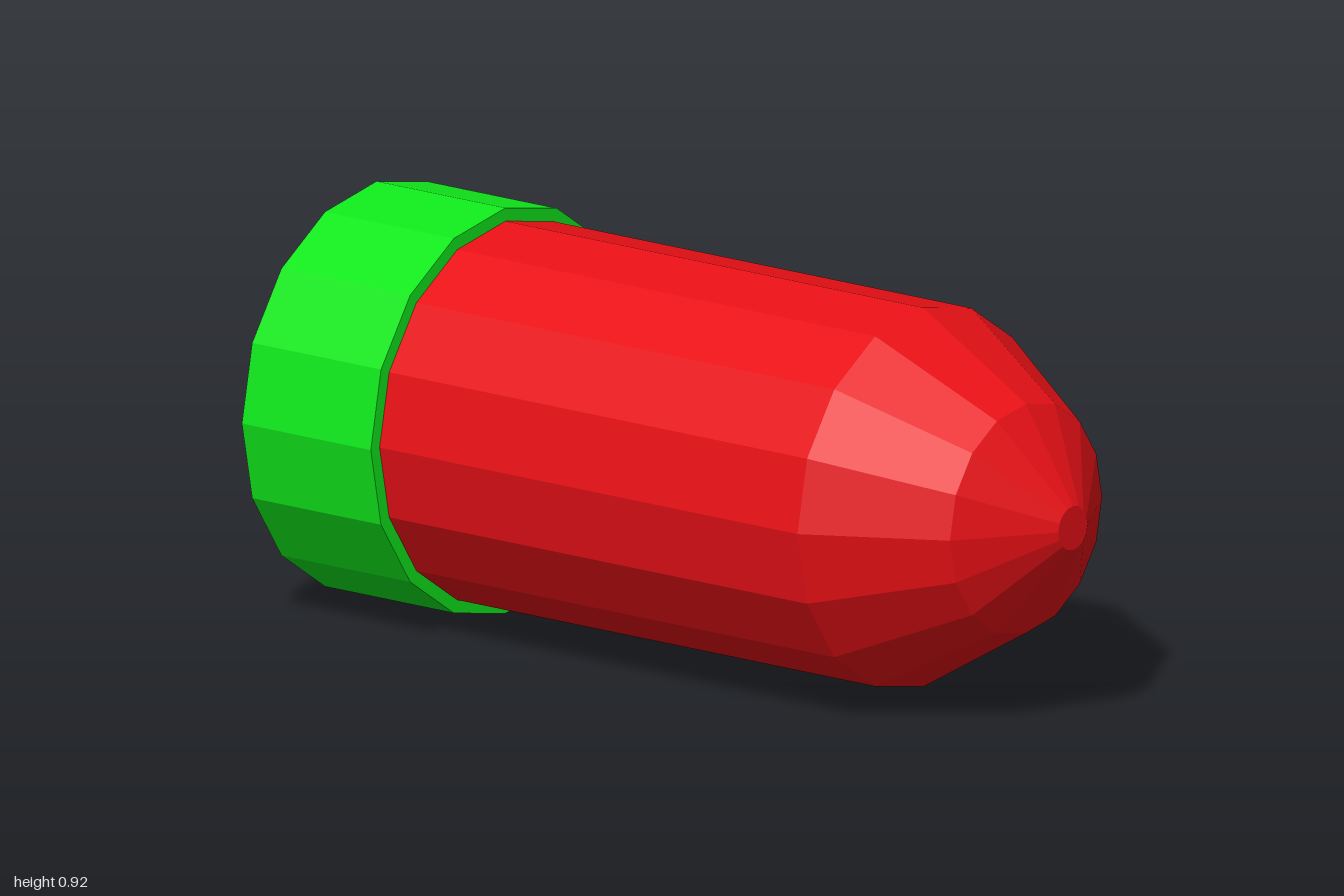
import * as THREE from 'three';

const SIDES = 16;
const RADIUS = 0.46; // outer radius of the rim, also the height of the axis

// Faceted solid turned around the z axis from [radius, z] pairs, back to front
function turned(name, color, profile) {
  const points = profile.map(([r, z]) => new THREE.Vector2(r, z));
  const geometry = new THREE.LatheGeometry(points, SIDES);
  geometry.rotateX(Math.PI / 2);
  const material = new THREE.MeshStandardMaterial({ color, flatShading: true });
  const mesh = new THREE.Mesh(geometry, material);
  mesh.name = name;
  mesh.position.y = RADIUS;
  return mesh;
}

export function createModel() {
  const group = new THREE.Group();
  group.name = 'bullet';

  // Red body with a two-step tapered nose and a small flat tip
  group.add(turned('body', 0xe81016, [
    [0, -0.64], [0.43, -0.64], [0.43, 0.57], [0.26, 0.865], [0.05, 1], [0, 1],
  ]));

  // Wider green base at the back
  group.add(turned('base', 0x10e81c, [
    [0, -1], [RADIUS, -1], [RADIUS, -0.63], [0, -0.63],
  ]));

  return group;
}
